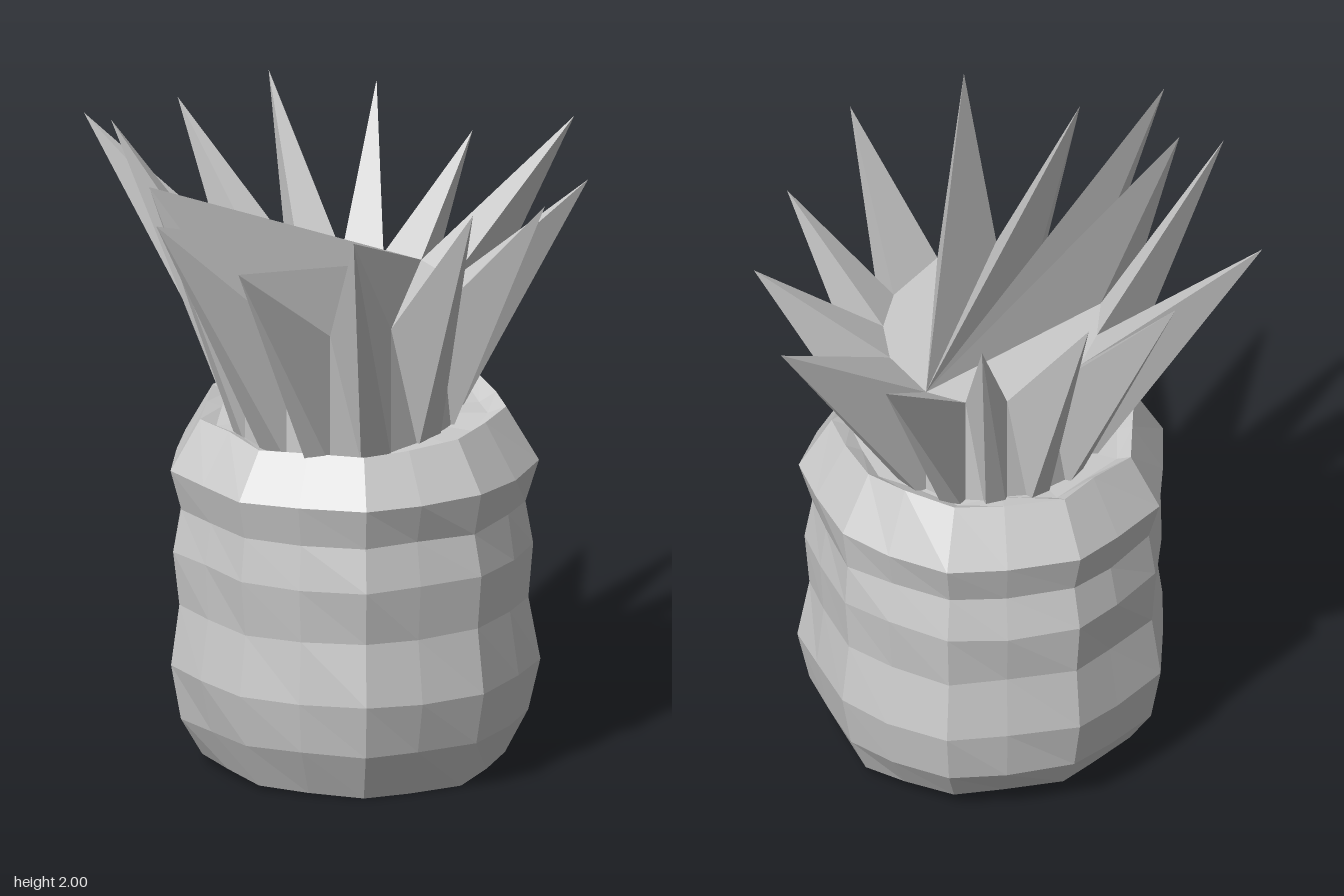
import * as THREE from 'three';

const material = new THREE.MeshStandardMaterial({ color: 0xcccccc, flatShading: true, side: THREE.DoubleSide });

// small seeded random, -1..1
let seed = 7;
const rand = () => {
  seed = (seed * 16807) % 2147483647;
  return (seed / 2147483647) * 2 - 1;
};

// flat-shaded mesh from a list of triangle corners
function facets(name, corners) {
  const geometry = new THREE.BufferGeometry().setFromPoints(corners);
  geometry.computeVertexNormals();
  const mesh = new THREE.Mesh(geometry, material);
  mesh.name = name;
  return mesh;
}

// joins two rings of equal length, facing outward
function band(out, low, high) {
  low.forEach((p, i) => {
    const j = (i + 1) % low.length;
    out.push(p, high[i], high[j], p, high[j], low[j]);
  });
}

// barrel-shaped fruit with bulging rows of knobbly facets
function fruit() {
  const sides = 18, cx = 0.1;
  const profile = [[0.445, 0.025], [0.513, 0.15], [0.545, 0.31], [0.515, 0.5], [0.535, 0.67],
    [0.513, 0.8], [0.54, 0.92], [0.445, 1.08], [0.40, 1.06]];
  const last = profile.length - 1;
  const columns = Array.from({ length: sides }, (_, i) => ({
    angle: ((i + 0.5 + rand() * 0.1) / sides) * Math.PI * 2,
    push: (i % 2 ? 0.012 : -0.012) + rand() * 0.006,
  }));
  const rings = profile.map(([r, y], k) => columns.map(({ angle, push }) => {
    const x = Math.cos(angle), z = Math.sin(angle);
    const radius = r + push + rand() * 0.007;
    let height = y + rand() * 0.006;
    if (k === 0) height = 0.025 - 0.026 * Math.cos(angle - 0.8);
    if (k >= last - 1) height = y - 0.018 * z + rand() * 0.008;
    return new THREE.Vector3(cx + radius * x, Math.max(0, height), radius * 1.01 * z);
  }));
  const out = [];
  for (let k = 0; k < last; k++) band(out, rings[k], rings[k + 1]);
  // flat bottom and top
  const bottom = new THREE.Vector3(cx, 0.025, 0), top = new THREE.Vector3(cx, 1.06, 0);
  for (let i = 0; i < sides; i++) {
    const j = (i + 1) % sides;
    out.push(bottom, rings[0][i], rings[0][j], top, rings[last][j], rings[last][i]);
  }
  return facets('fruitBody', out);
}

// crown of leaves: a collar whose rim alternates between leaf tips and notches
function crown() {
  const tips = [[0.25, 1.71, -0.77], [0.57, 1.79, -0.75], [0.745, 1.75, -0.29], [0.72, 1.78, 0.085],
    [0.6, 1.85, 0.44], [0.31, 1.82, 0.71], [-0.03, 1.71, 0.765], [-0.29, 1.83, 0.74],
    [-0.39, 1.86, 0.47], [-0.56, 2, 0.29], [-0.75, 1.89, -0.08], [-0.55, 1.86, -0.39],
    [-0.33, 1.9, -0.6], [-0.03, 1.86, -0.715]].map((p) => new THREE.Vector3(...p));
  const notches = [[0.21, -0.36], [0.35, -0.21], [0.4, -0.06], [0.4, 0.1], [0.31, 0.31],
    [0.155, 0.425], [0.02, 0.425], [-0.14, 0.31], [-0.21, 0.18], [-0.23, 0.02], [-0.21, -0.14],
    [-0.14, -0.27], [-0.035, -0.36], [0.085, -0.39]].map(([x, z]) => new THREE.Vector3(x, 1.43, z));
  const count = tips.length, rim = [], foot = [], out = [];
  tips.forEach((tip, i) => {
    const before = notches[(i + count - 1) % count], after = notches[i];
    const root = before.clone().lerp(after, 0.5);
    root.x = 0.09 + (root.x - 0.09) * 1.04;
    root.z = 0.02 + (root.z - 0.02) * 1.04;
    rim.push(tip, after);
    foot.push(root.setY(1.03), after.clone().setY(1.03));
  });
  band(out, foot, rim);
  // upper leaf faces, then a fan closing the middle
  const broad = (i) => i >= 5 && i <= 8;
  const middle = [];
  tips.forEach((tip, i) => {
    if (broad(i)) middle.push(tip);
    else out.push(notches[i], tip, notches[(i + count - 1) % count]);
    middle.push(notches[i]);
  });
  for (let i = 1; i < middle.length - 1; i++) out.push(middle[0], middle[i + 1], middle[i]);
  return facets('leafCrown', out);
}

export function createModel() {
  seed = 7;
  const group = new THREE.Group();
  group.name = 'pineapple';
  group.add(fruit(), crown());
  return group;
}
